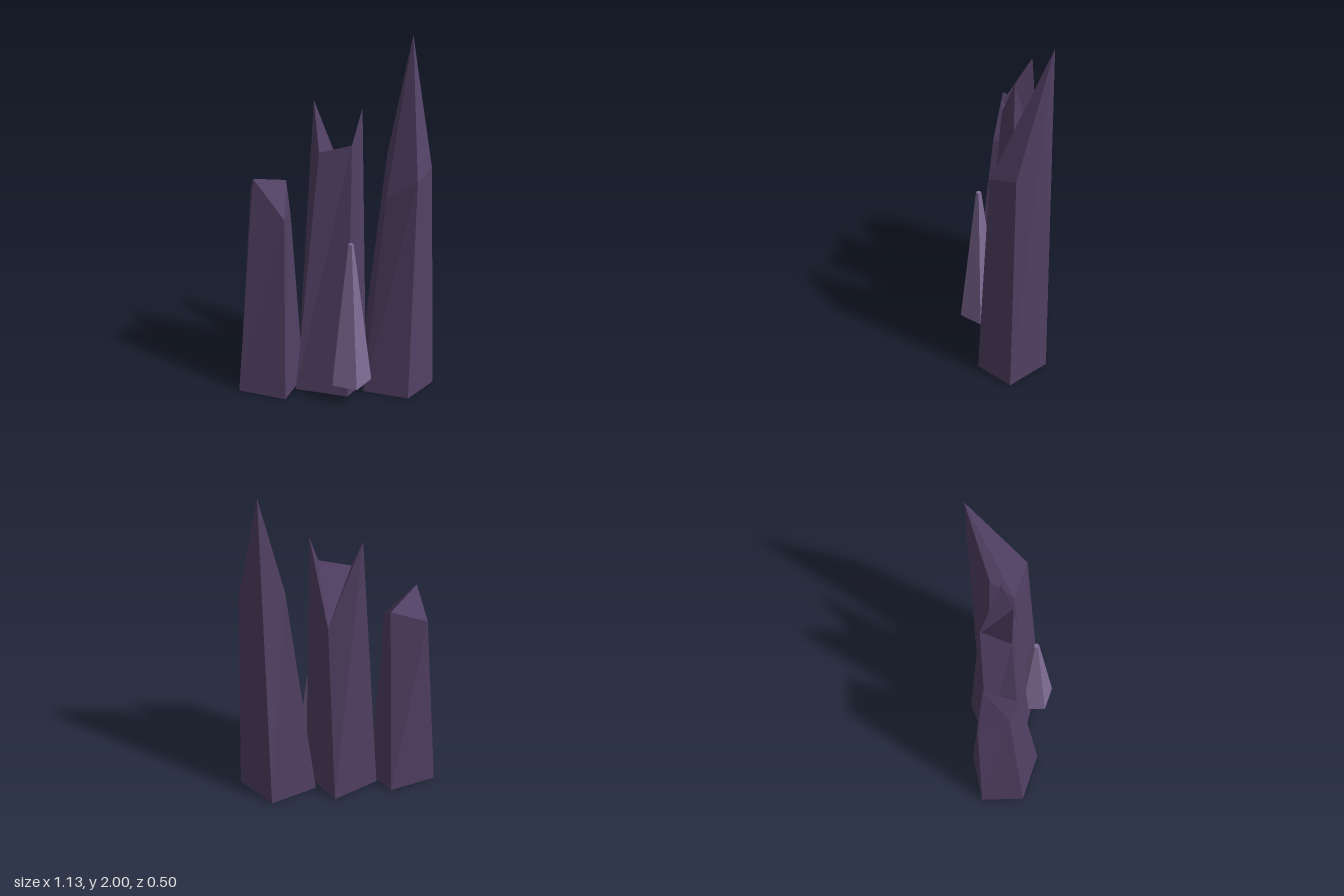
import * as THREE from 'three';

// Five-sided shard: base ring [x, z] and cut ring [x, y, z], both listed
// back-left, front-left, front-right, right, back.
function shardGeometry(base, top) {
  const lower = base.map(([x, z]) => [x, 0, z]);
  const pos = [];
  const tri = (a, b, c) => pos.push(...a, ...b, ...c);
  const n = base.length;
  for (let i = 0; i < n; i++) {
    const j = (i + 1) % n;
    tri(lower[i], lower[j], top[j]);
    tri(lower[i], top[j], top[i]);
  }
  // cut top and flat underside, fanned from the back corner
  for (let i = 0; i < n - 2; i++) {
    tri(top[n - 1], top[i], top[i + 1]);
    tri(lower[n - 1], lower[i + 1], lower[i]);
  }
  const g = new THREE.BufferGeometry();
  g.setAttribute('position', new THREE.Float32BufferAttribute(pos, 3));
  g.computeVertexNormals();
  return g;
}

const shards = [
  {
    name: 'shortCrystal',
    base: [[-0.566, -0.169], [-0.554, 0.079], [-0.285, 0.165], [-0.192, -0.074], [-0.297, -0.232]],
    top: [[-0.47, 1.15, -0.166], [-0.44, 1.28, -0.003], [-0.276, 1.065, 0.054], [-0.25, 1.04, -0.09], [-0.273, 1.215, -0.145]],
  },
  {
    name: 'forkedCrystal',
    base: [[-0.226, -0.145], [-0.23, 0.06], [0.066, 0.135], [0.174, -0.027], [0.038, -0.254]],
    top: [[-0.119, 1.67, -0.151], [-0.089, 1.43, 0.003], [0.083, 1.475, 0.009], [0.137, 1.66, -0.054], [0.062, 1.17, -0.175]],
  },
  {
    name: 'tallCrystal',
    base: [[0.134, -0.145], [0.159, 0.079], [0.409, 0.15], [0.562, -0.027], [0.4, -0.232]],
    top: [[0.273, 1.38, -0.118], [0.268, 1.18, 0.009], [0.428, 1.29, 0.076], [0.509, 1.33, -0.054], [0.4, 2, -0.23]],
  },
];

export function createModel() {
  const group = new THREE.Group();
  group.name = 'crystalCluster';

  const darkPurple = new THREE.MeshStandardMaterial({ color: 0x524064 });
  darkPurple.name = 'dark purple';
  const palePurple = new THREE.MeshStandardMaterial({ color: 0x806b96, flatShading: true });
  palePurple.name = 'pale purple';

  // three large shards
  for (const { name, base, top } of shards) {
    const mesh = new THREE.Mesh(shardGeometry(base, top), darkPurple);
    mesh.name = name;
    group.add(mesh);
  }

  // small tapered spike in front
  const spike = new THREE.Mesh(new THREE.CylinderGeometry(0.015, 0.12, 0.845, 5).rotateY(Math.PI / 2), palePurple);
  spike.name = 'smallSpike';
  spike.position.set(0.08, 0.5425, 0.135);
  group.add(spike);

  return group;
}
